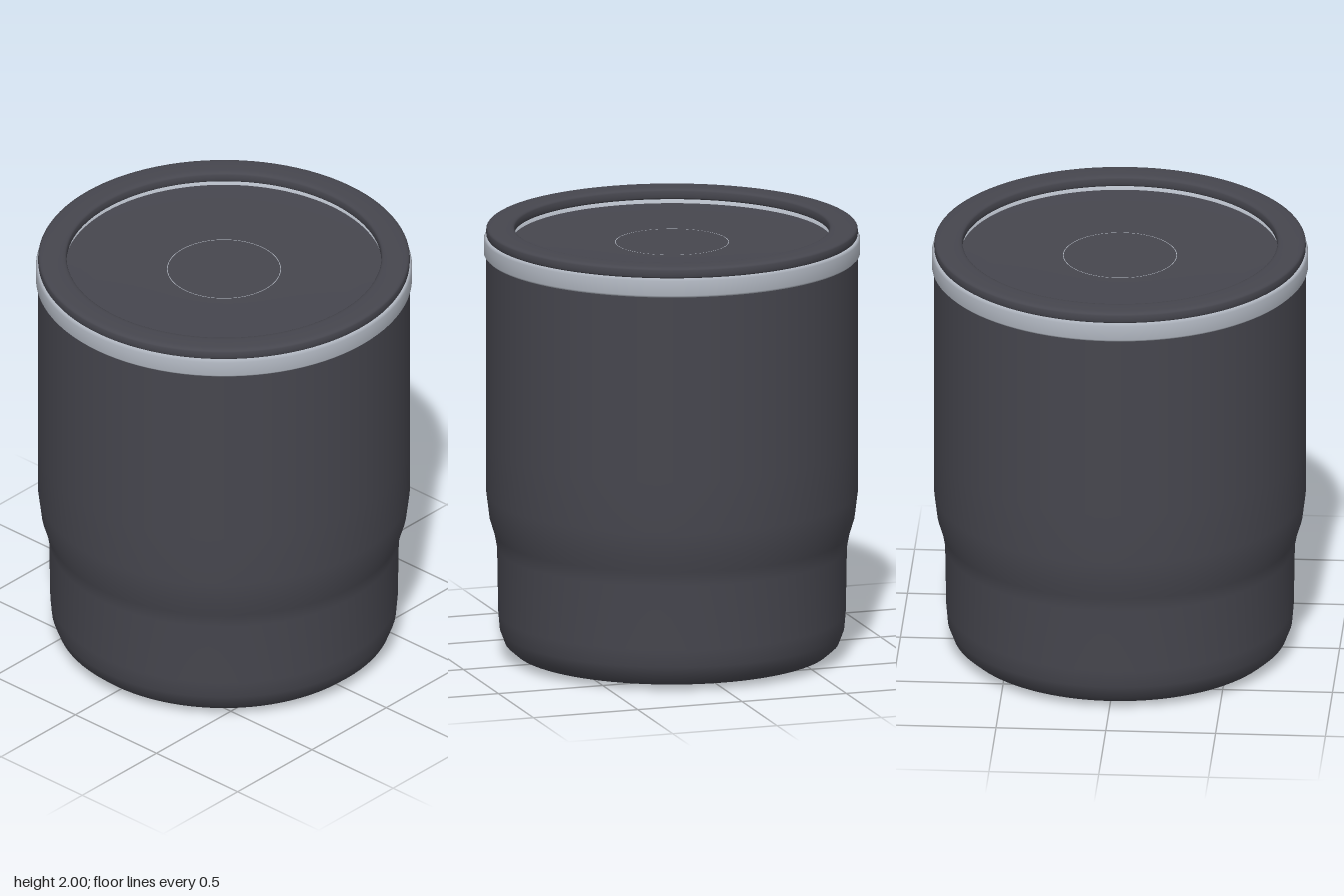
import * as THREE from 'three';

const SEGMENTS = 96;

function lathe(name, points, material) {
  const profile = points.map(([r, y]) => new THREE.Vector2(r, y));
  const mesh = new THREE.Mesh(new THREE.LatheGeometry(profile, SEGMENTS), material);
  mesh.name = name;
  return mesh;
}

export function createModel() {
  const charcoal = new THREE.MeshStandardMaterial({ color: 0x46464e });
  charcoal.name = 'charcoal';
  const silver = new THREE.MeshStandardMaterial({ color: 0xb2b8c2 });
  silver.name = 'silver';

  const group = new THREE.Group();
  group.name = 'cup';

  // Body: flat base, rounded foot, narrow lower part flaring into a straight wall
  group.add(lathe('body', [
    [0, 0], [0.59, 0], [0.72, 0.025], [0.76, 0.06], [0.783, 0.12], [0.79, 0.2],
    [0.795, 0.5], [0.808, 0.57], [0.83, 0.64], [0.845, 0.76], [0.845, 1.0], [0.845, 1.88],
  ], charcoal));

  // Metal band around the top, with its inner face showing under the rim
  group.add(lathe('band', [
    [0.72, 1.862], [0.845, 1.862], [0.855, 1.872], [0.855, 1.94], [0.845, 1.95],
    [0.725, 1.955], [0.725, 1.862],
  ], silver));

  // Rounded rim cushion
  const rimShape = [];
  for (let i = 0; i <= 24; i++) {
    const a = -Math.PI / 2 + (i / 24) * Math.PI * 2;
    const c = Math.cos(a), s = Math.sin(a);
    rimShape.push([
      0.78 + 0.065 * Math.sign(c) * Math.sqrt(Math.abs(c)),
      1.972 + 0.028 * Math.sign(s) * Math.sqrt(Math.abs(s)),
    ]);
  }
  group.add(lathe('rim', rimShape, charcoal));

  // Recessed lid: shallow dish with a flat centre
  group.add(lathe('lid', [[0.726, 1.93], [0.6, 1.922], [0.26, 1.92], [0, 1.92]], charcoal));

  // Hairline ring on the lid
  group.add(lathe('lidRing', [[0.259, 1.9215], [0.256, 1.9215]], silver));

  return group;
}
